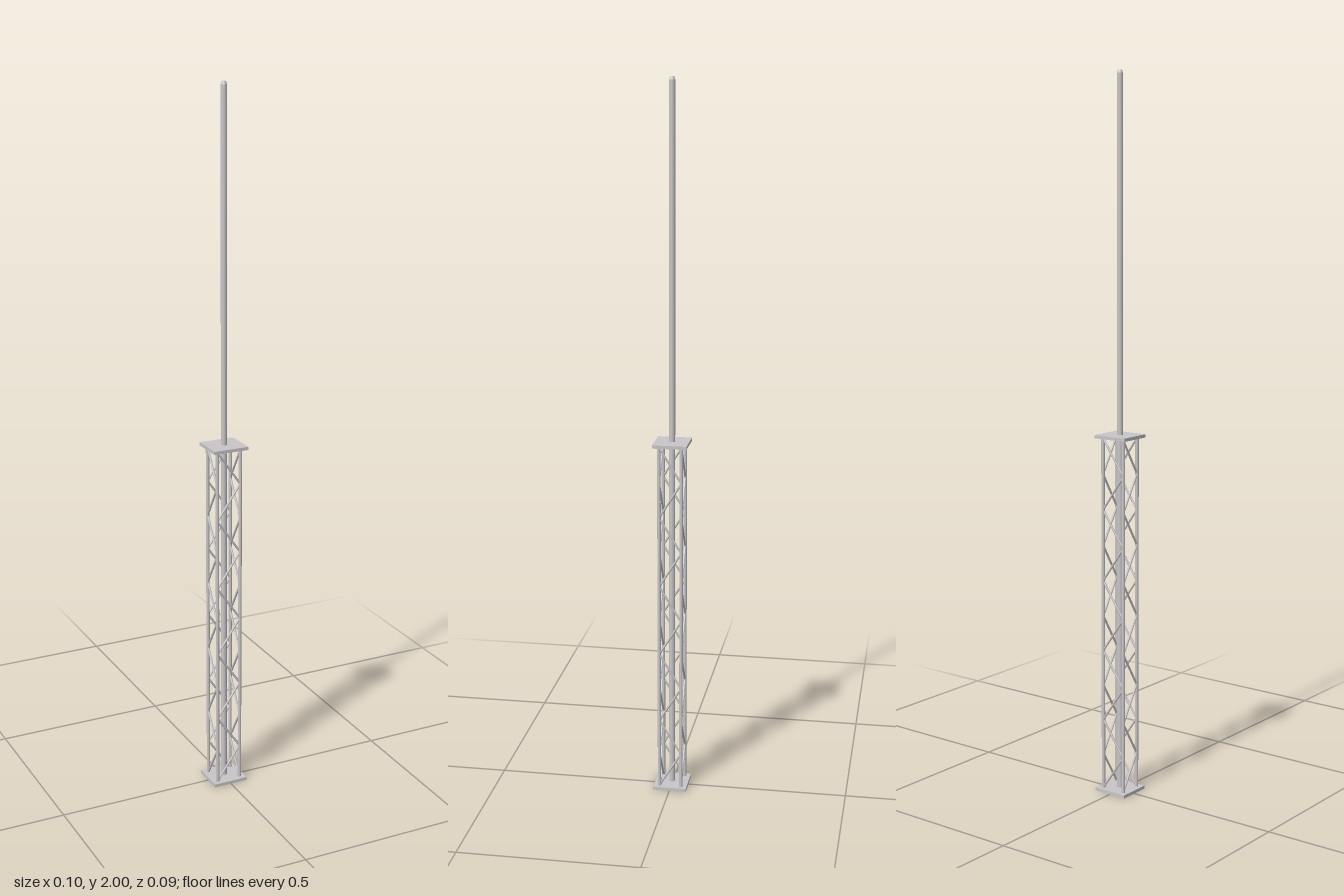
import * as THREE from 'three';

export function createModel() {
  const model = new THREE.Group();
  const steel = new THREE.MeshStandardMaterial({ color: 0xc8c6c8 });
  steel.name = 'galvanised steel';

  const HX = 0.035, HZ = 0.031;      // upright centre lines
  const PLATE = 0.009, TOP = 1.022;  // plate thickness, top of the lattice

  function add(name, geometry, parent = model) {
    const mesh = new THREE.Mesh(geometry, steel);
    mesh.name = name;
    parent.add(mesh);
    return mesh;
  }

  // round bar between two points
  function bar(name, a, b, radius, sides, parent) {
    const dir = b.clone().sub(a);
    const mesh = add(name, new THREE.CylinderGeometry(radius, radius, dir.length(), sides), parent);
    mesh.position.copy(a).add(b).multiplyScalar(0.5);
    mesh.quaternion.setFromUnitVectors(new THREE.Vector3(0, 1, 0), dir.normalize());
  }

  // base and top plates
  for (const [name, y] of [['basePlate', PLATE / 2], ['topPlate', TOP - PLATE / 2]]) {
    add(name, new THREE.BoxGeometry(0.102, PLATE, 0.095)).position.y = y;
  }

  // corners in order around the mast
  const corners = [[-HX, HZ], [HX, HZ], [HX, -HZ], [-HX, -HZ]];
  const at = (i, y) => new THREE.Vector3(corners[i % 4][0], y, corners[i % 4][1]);
  const y0 = PLATE, y1 = TOP - PLATE;

  // four uprights
  const uprights = new THREE.Group();
  uprights.name = 'uprights';
  model.add(uprights);
  for (let i = 0; i < 4; i++) bar('upright', at(i, y0), at(i, y1), 0.005, 14, uprights);

  // zigzag lacing on each face
  const lacing = new THREE.Group();
  lacing.name = 'lacing';
  model.add(lacing);
  const BAYS = 10, step = (y1 - y0) / BAYS;
  for (let face = 0; face < 4; face++) {
    for (let k = 0; k < BAYS; k++) {
      const from = face + (k % 2), to = face + 1 - (k % 2);
      bar('brace', at(from, y0 + k * step), at(to, y0 + (k + 1) * step), 0.003, 8, lacing);
    }
  }

  // central pole with a chamfered tip
  const profile = [[0, 0], [0.0085, 0], [0.0085, 0], [0.0085, 1.992], [0.0085, 1.992],
    [0.0055, 2], [0.0055, 2], [0, 2]].map(([r, y]) => new THREE.Vector2(r, y));
  add('pole', new THREE.LatheGeometry(profile, 20));

  return model;
}
